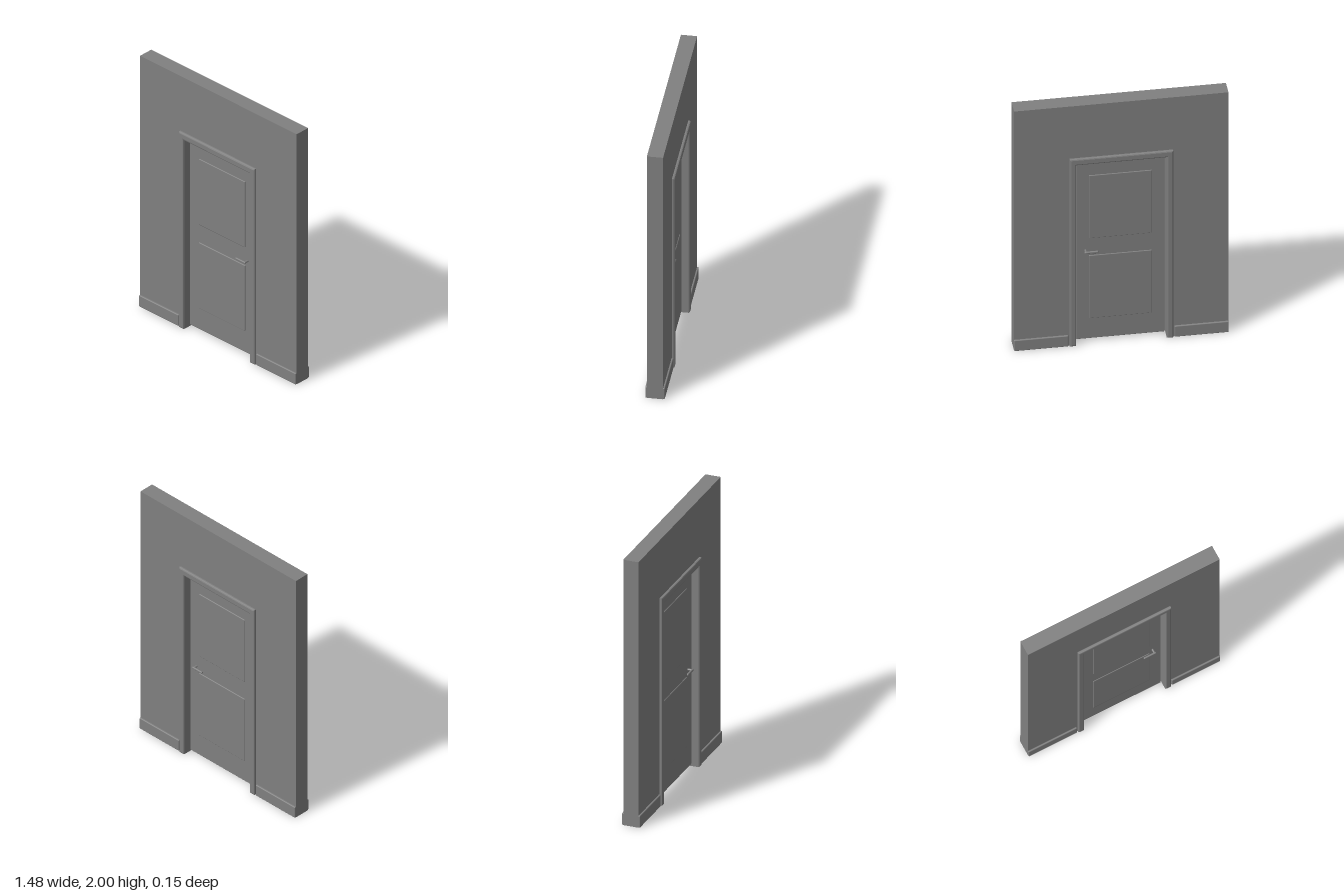
import * as THREE from 'three';
import { RoundedBoxGeometry } from 'three/addons/geometries/RoundedBoxGeometry.js';

const grey = new THREE.MeshStandardMaterial({ color: 0x808080 });
grey.name = 'plain grey';

// Wall or casing outline: a rectangle open at the bottom for the doorway
function archShape(outerX, outerY, innerX, innerY) {
  return new THREE.Shape([
    [-outerX, 0], [-innerX, 0], [-innerX, innerY], [innerX, innerY],
    [innerX, 0], [outerX, 0], [outerX, outerY], [-outerX, outerY],
  ].map(([x, y]) => new THREE.Vector2(x, y)));
}

// Extrusion centred on z = 0, with an optional edge bevel kept inside the outline
function extrude(shape, depth, bevel = 0) {
  const geometry = new THREE.ExtrudeGeometry(shape, {
    depth: depth - 2 * bevel,
    bevelEnabled: bevel > 0,
    bevelSize: bevel,
    bevelThickness: bevel,
    bevelOffset: -bevel,
    bevelSegments: 2,
  });
  return geometry.translate(0, 0, -depth / 2 + bevel);
}

function add(parent, name, geometry, x = 0, y = 0, z = 0) {
  const mesh = new THREE.Mesh(geometry, grey);
  mesh.name = name;
  mesh.position.set(x, y, z);
  parent.add(mesh);
  return mesh;
}

export function createModel() {
  const model = new THREE.Group();
  model.name = 'doorway';

  // Wall and door casing
  add(model, 'wall', extrude(archShape(0.74, 2, 0.335, 1.535), 0.112));
  add(model, 'doorFrame', extrude(archShape(0.358, 1.564, 0.313, 1.512), 0.15, 0.01));

  // Skirting boards on both faces, either side of the casing
  for (const x of [-1, 1]) {
    for (const z of [-1, 1]) {
      add(model, 'skirtingBoard', new RoundedBoxGeometry(0.374, 0.09, 0.03, 2, 0.006),
        x * 0.553, 0.045, z * 0.053);
    }
  }

  // Door leaf
  const door = new THREE.Group();
  door.name = 'door';
  model.add(door);
  add(door, 'leaf', new RoundedBoxGeometry(0.612, 1.46, 0.036, 2, 0.004), 0, 0.749, 0);

  for (const side of [-1, 1]) {
    // Raised panels
    for (const [bottom, top] of [[0.188, 0.714], [0.857, 1.383]]) {
      add(door, 'panel', new RoundedBoxGeometry(0.436, top - bottom, 0.02, 2, 0.005),
        0, (bottom + top) / 2, side * 0.013);
    }
    // Lever handle: short spindle and a bar pointing to the middle of the door
    const spindle = new THREE.CylinderGeometry(0.008, 0.008, 0.036, 16).rotateX(Math.PI / 2);
    add(door, 'handleSpindle', spindle, 0.241, 0.759, side * 0.034);
    add(door, 'handleLever', new RoundedBoxGeometry(0.095, 0.017, 0.014, 3, 0.006),
      0.2045, 0.759, side * 0.05);
  }

  return model;
}
